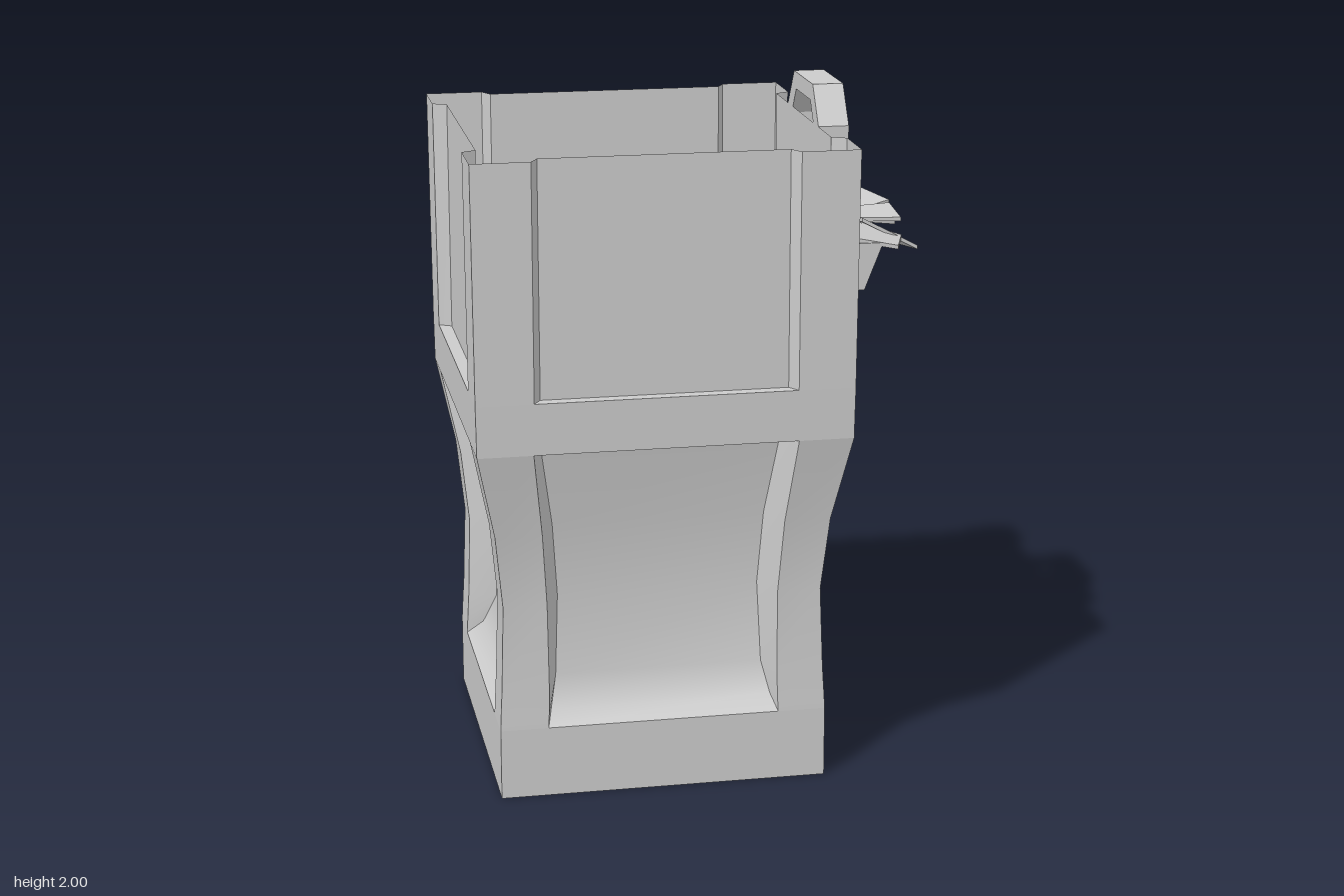
import * as THREE from 'three';

const smoothMat = new THREE.MeshStandardMaterial({ color: 0xcccccc, side: THREE.DoubleSide });
const flatMat = new THREE.MeshStandardMaterial({ color: 0xcccccc, side: THREE.DoubleSide, flatShading: true });

// Surface through rows of points; rows run bottom to top, points left to right
function loft(rows, name) {
  const n = rows[0].length;
  const index = [];
  for (let i = 0; i < rows.length - 1; i++) {
    for (let j = 0; j < n - 1; j++) {
      const a = i * n + j, b = a + 1, c = a + n, d = c + 1;
      index.push(a, b, d, a, d, c);
    }
  }
  const geo = new THREE.BufferGeometry();
  geo.setAttribute('position', new THREE.Float32BufferAttribute(rows.flat(2), 3));
  geo.setIndex(index);
  geo.computeVertexNormals();
  const mesh = new THREE.Mesh(geo, smoothMat);
  mesh.name = name;
  return mesh;
}

// Wall sections: height, wall half width, opening half width, panel half width, panel distance
const LOWER = [
  [0.21, 0.48, 0.34, 0.34, 0.48],
  [0.25, 0.478, 0.338, 0.325, 0.43],
  [0.34, 0.473, 0.336, 0.305, 0.39],
  [0.58, 0.465, 0.338, 0.295, 0.375],
  [0.80, 0.487, 0.352, 0.31, 0.392],
  [1.055, 0.54, 0.38, 0.348, 0.44],
];
const UPPER = [
  [1.205, 0.542, 0.377, 0.355, 0.505],
  [1.89, 0.546, 0.377, 0.355, 0.505],
];

// Corner posts, slanted reveals and the sunken panel of one storey
function storey(rows, label) {
  const g = new THREE.Group();
  g.name = label;
  for (const s of [-1, 1]) {
    const order = (a, b) => (s > 0 ? [a, b] : [b, a]);
    g.add(loft(rows.map(([y, h, w]) => order([s * w, y, h], [s * h, y, h])), 'cornerPost'));
    g.add(loft(rows.map(([y, h, w, iw, p]) => order([s * iw, y, p], [s * w, y, h])), 'panelReveal'));
  }
  g.add(loft(rows.map(([y, , , iw, p]) => [[-iw, y, p], [iw, y, p]]), 'sunkenPanel'));
  return g;
}

// One full side of the tower, facing +z
function wall(name) {
  const g = new THREE.Group();
  g.name = name;
  const band = (y0, h0, y1, h1, label) =>
    g.add(loft([[[-h0, y0, h0], [h0, y0, h0]], [[-h1, y1, h1], [h1, y1, h1]]], label));
  band(0, 0.48, 0.21, 0.48, 'baseBand');
  band(1.055, 0.54, 1.205, 0.542, 'middleBand');
  g.add(storey(LOWER, 'lowerStorey'), storey(UPPER, 'upperStorey'));
  // ledges closing the recesses at the middle band
  const [y1, h1, w1, i1, p1] = LOWER[LOWER.length - 1];
  g.add(loft([[[-i1, y1, p1], [i1, y1, p1]], [[-w1, y1, h1], [w1, y1, h1]]], 'recessTop'));
  const [y2, h2, w2, i2, p2] = UPPER[0];
  g.add(loft([[[-w2, y2, h2], [w2, y2, h2]], [[-i2, y2, p2], [i2, y2, p2]]], 'recessLedge'));
  return g;
}

// Symmetric outline from its right-hand points, bottom to top
function mirrored(half) {
  const pts = half.map(([x, y]) => new THREE.Vector2(x, y));
  return pts.concat(half.map(([x, y]) => new THREE.Vector2(-x, y)).reverse());
}

function archFrame(outer, inner, depth, name) {
  const shape = new THREE.Shape(mirrored(outer));
  shape.holes.push(new THREE.Path(mirrored(inner)));
  const mesh = new THREE.Mesh(new THREE.ExtrudeGeometry(shape, { depth, bevelEnabled: false }), flatMat);
  mesh.name = name;
  return mesh;
}

function box(name, x0, x1, y0, y1, z0, z1) {
  const mesh = new THREE.Mesh(new THREE.BoxGeometry(x1 - x0, y1 - y0, z1 - z0), flatMat);
  mesh.position.set((x0 + x1) / 2, (y0 + y1) / 2, (z0 + z1) / 2);
  mesh.name = name;
  return mesh;
}

export function createModel() {
  const model = new THREE.Group();
  model.name = 'tower';

  // four equal walls, open at top and bottom
  const walls = new THREE.Group();
  walls.name = 'walls';
  walls.position.set(-0.15, 0, 0.035);
  ['frontWall', 'leftWall', 'backWall', 'rightWall'].forEach((name, i) => {
    const w = wall(name);
    w.rotation.y = i * Math.PI / 2;
    walls.add(w);
  });
  model.add(walls);

  // doorstep at the back
  model.add(box('doorstep', -0.49, 0.21, 0, 0.1, -0.58, -0.44));

  // small arched window on the back wall
  const frame = archFrame(
    [[0.15, 1.28], [0.15, 1.46], [0.125, 1.59], [0.06, 1.67]],
    [[0.105, 1.3], [0.105, 1.46], [0.085, 1.56], [0.04, 1.62]], 0.05, 'windowFrame');
  frame.position.set(-0.14, 0, -0.52);
  model.add(frame, box('windowSill', -0.31, 0.03, 1.26, 1.3, -0.527, -0.47));

  // tall arched opening on the side, rising above the wall
  const arch = archFrame(
    [[0.197, 1.4], [0.197, 1.89], [0.12, 2.0]],
    [[0.145, 1.54], [0.145, 1.87], [0.09, 1.95]], 0.09, 'sideArch');
  arch.rotation.y = Math.PI / 2;
  arch.position.set(0.355, 0, 0.037);
  model.add(arch);

  // wedge-shaped ledge below the arch
  const wedge = new THREE.Shape([[0.44, 1.4], [0.5, 1.4], [0.555, 1.54], [0.44, 1.54]]
    .map(([x, y]) => new THREE.Vector2(x, y)));
  const ledge = new THREE.Mesh(new THREE.ExtrudeGeometry(wedge, { depth: 0.394, bevelEnabled: false }), flatMat);
  ledge.position.z = -0.16;
  ledge.name = 'archLedge';
  model.add(ledge);

  // fan of loose thin slabs over the ledge: near, near, far, far corners
  const slabs = new THREE.Group();
  slabs.name = 'slabFan';
  const corners = [
    [[0.5, 1.58, 0], [0.45, 1.59, -0.13], [0.65, 1.6, -0.07], [0.6, 1.61, -0.21]],
    [[0.48, 1.57, 0], [0.46, 1.58, -0.12], [0.67, 1.535, -0.07], [0.59, 1.54, -0.19]],
    [[0.52, 1.59, 0.12], [0.49, 1.58, -0.02], [0.69, 1.5, 0.12], [0.675, 1.475, -0.07]],
    [[0.45, 1.56, 0.225], [0.46, 1.59, 0.09], [0.6, 1.53, 0.235], [0.645, 1.53, 0.1]],
    [[0.46, 1.59, 0.1], [0.45, 1.59, -0.03], [0.64, 1.585, 0.11], [0.64, 1.6, -0.03]],
  ];
  for (const [a, b, c, d] of corners) {
    const lower = ([x, y, z]) => [x, y - 0.012, z];
    slabs.add(loft([[a, c], [b, d]], 'slabTop'));
    slabs.add(loft([[b, d], [a, c]].map((r) => r.map(lower)), 'slabUnderside'));
    const ring = [a, c, d, b, a];
    const rim = loft([ring.map(lower), ring], 'slabRim');
    rim.material = flatMat;
    slabs.add(rim);
  }
  model.add(slabs);
  return model;
}
